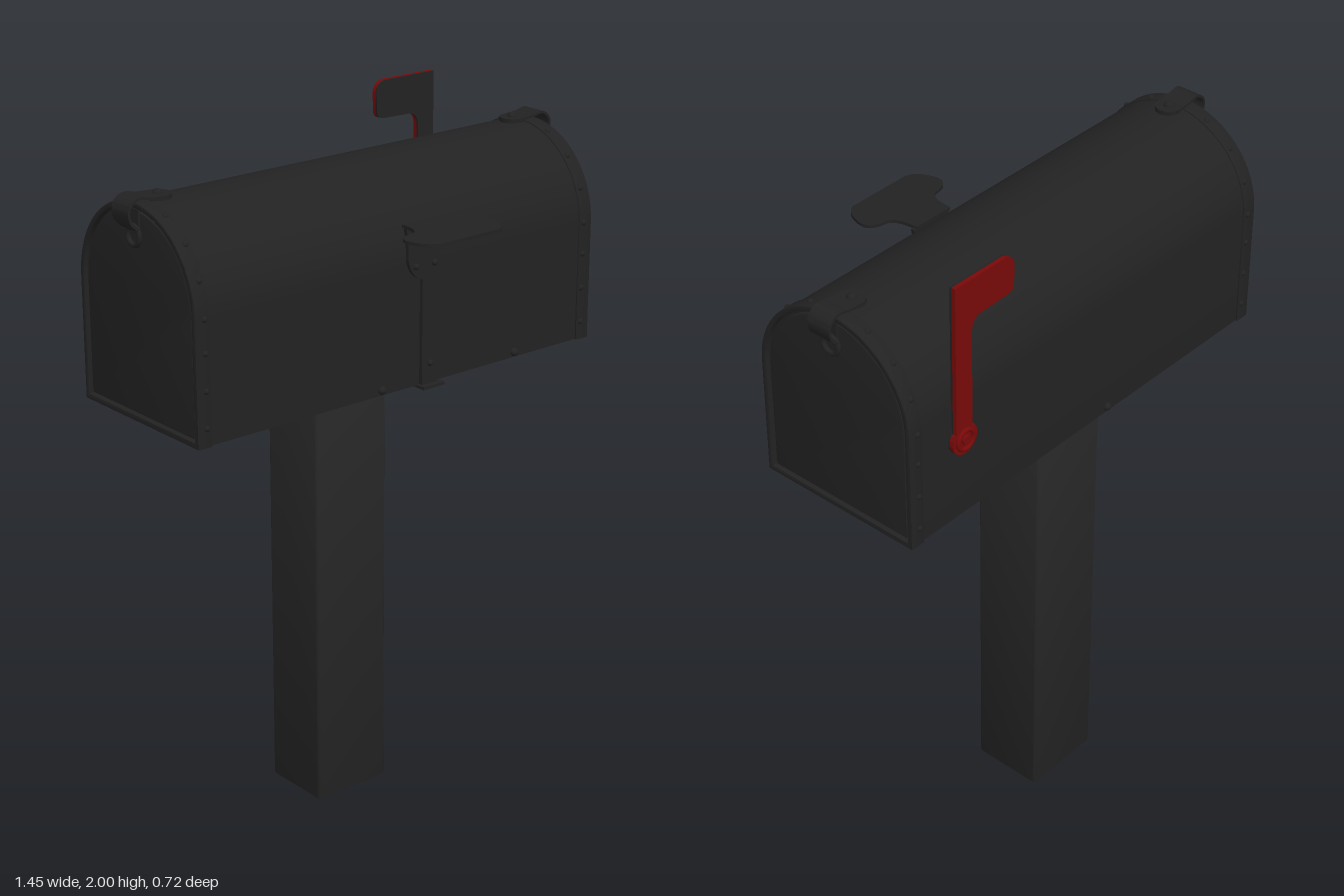
import * as THREE from 'three';
import { toCreasedNormals } from 'three/addons/utils/BufferGeometryUtils.js';

const mat = (name, color) => new THREE.MeshStandardMaterial({ name, color });
const BODY_Z = -0.087; // centre of the box across its width
const FLOOR = 1.3, SPRING = 1.64; // underside and start of the arch

export function createModel() {
  const model = new THREE.Group();
  model.name = 'mailbox';
  const black = mat('black metal', 0x222222);
  const postBlack = mat('post black', 0x262626);
  const red = mat('flag red', 0x780909);

  const add = (parent, name, geo, material, x = 0, y = 0, z = 0) => {
    const mesh = new THREE.Mesh(geo, material);
    mesh.name = name;
    mesh.position.set(x, y, z);
    parent.add(mesh);
    return mesh;
  };
  const extrude = (shape, depth, bevel = 0) => toCreasedNormals(new THREE.ExtrudeGeometry(shape, {
    depth: depth - 2 * bevel, curveSegments: 20, bevelEnabled: bevel > 0,
    bevelSize: bevel, bevelThickness: bevel, bevelOffset: -bevel, bevelSegments: 2,
  }).translate(0, 0, bevel), 0.6);

  // Arched outline, flat floor and round top
  const arch = (r, floor, Type = THREE.Shape) => {
    const s = new Type();
    s.moveTo(-r, floor);
    s.lineTo(r, floor);
    s.lineTo(r, SPRING);
    s.absarc(0, SPRING, r, 0, Math.PI, false);
    s.lineTo(-r, floor);
    return s;
  };
  // Bent metal strip from a centre line in x, y
  const strip = (pts, thick, depth) => {
    const curve = new THREE.CatmullRomCurve3(pts.map(([x, y]) => new THREE.Vector3(x, y, 0)));
    const outer = [], inner = [];
    for (let i = 0; i <= 24; i++) {
      const p = curve.getPoint(i / 24), t = curve.getTangent(i / 24);
      outer.push(new THREE.Vector2(p.x - t.y * thick / 2, p.y + t.x * thick / 2));
      inner.unshift(new THREE.Vector2(p.x + t.y * thick / 2, p.y - t.x * thick / 2));
    }
    return extrude(new THREE.Shape([...outer, ...inner]), depth).translate(0, 0, -depth / 2);
  };
  const rivetGeo = new THREE.SphereGeometry(0.009, 10, 8);

  // Post with softened corners
  const postShape = new THREE.Shape();
  const w = 0.125, d = 0.1075, c = 0.012;
  postShape.moveTo(-w + c, -d);
  [[w, -d, w, -d + c], [w, d, w - c, d], [-w, d, -w, d - c], [-w, -d, -w + c, -d]].forEach(([qx, qy, x, y], i) => {
    const start = [[w - c, -d], [w, d - c], [-w + c, d], [-w, -d + c]][i];
    postShape.lineTo(...start);
    postShape.quadraticCurveTo(qx, qy, x, y);
  });
  add(model, 'post', extrude(postShape, 1.27, 0.008).rotateX(-Math.PI / 2), postBlack, -0.015, 0, -0.153);
  add(model, 'lowerCollar', new THREE.BoxGeometry(0.27, 0.022, 0.24), postBlack, -0.005, 1.27, -0.15);
  add(model, 'upperCollar', new THREE.BoxGeometry(0.31, 0.02, 0.28), postBlack, -0.005, 1.29, -0.155);

  // Arched box
  const body = new THREE.Group();
  body.name = 'box';
  body.position.set(-0.003, 0, BODY_Z);
  model.add(body);
  add(body, 'shell', extrude(arch(0.247, FLOOR), 1.34).rotateY(Math.PI / 2), black, -0.67);

  // Both ends: rim, door, rivets, latch
  for (const side of [1, -1]) {
    const end = new THREE.Group();
    end.name = side > 0 ? 'leftEnd' : 'rightEnd';
    if (side < 0) end.rotation.y = Math.PI;
    body.add(end);

    const rim = arch(0.251, FLOOR - 0.002);
    rim.holes.push(arch(0.236, FLOOR + 0.014, THREE.Path));
    add(end, 'rim', extrude(rim, 0.046, 0.003).rotateY(Math.PI / 2), black, 0.64);
    add(end, 'door', extrude(arch(0.228, FLOOR + 0.02), 0.03, 0.005).rotateY(Math.PI / 2), black, 0.65);

    for (let i = 0; i <= 8; i++) {
      const a = Math.PI * i / 8;
      if (i !== 4) add(end, 'rimRivet', rivetGeo, black, 0.656, SPRING + 0.248 * Math.sin(a), 0.248 * Math.cos(a));
    }
    for (const y of [1.35, 1.45, 1.55]) {
      for (const z of [-0.248, 0.248]) add(end, 'rimRivet', rivetGeo, black, 0.656, y, z);
    }

    // Spring latch curling over the door
    add(end, 'latchStrip', strip([[0.6, 1.898], [0.65, 1.901], [0.695, 1.907], [0.721, 1.885],
      [0.718, 1.85], [0.695, 1.825]], 0.007, 0.072), black);
    const tongue = new THREE.CylinderGeometry(0.036, 0.036, 0.012, 24);
    add(end, 'latchTongue', tongue, black, 0.61, 1.896);
    add(end, 'latchRivet', new THREE.SphereGeometry(0.014, 12, 8), black, 0.61, 1.9);
    add(end, 'doorPull', new THREE.TorusGeometry(0.026, 0.007, 8, 24).rotateY(Math.PI / 2), black, 0.687, 1.805);
    add(end, 'pullPlate', new THREE.BoxGeometry(0.01, 0.07, 0.04), black, 0.68, 1.84);
  }

  // Front bracket: flared upright, rounded shelf and foot
  const bracket = new THREE.Group();
  bracket.name = 'frontBracket';
  bracket.position.x = 0.052;
  model.add(bracket);
  const upright = new THREE.Shape();
  upright.moveTo(0, 1.3);
  upright.lineTo(0.055, 1.3);
  upright.lineTo(0.055, 1.6);
  upright.quadraticCurveTo(0.06, 1.69, 0.075, 1.755);
  upright.lineTo(-0.06, 1.755);
  upright.quadraticCurveTo(-0.05, 1.72, -0.05, 1.66);
  upright.quadraticCurveTo(-0.04, 1.61, 0, 1.6);
  add(bracket, 'upright', extrude(upright, 0.011), black, 0, 0, 0.16);

  const shelf = new THREE.Shape();
  shelf.moveTo(-0.065, -0.16);
  shelf.lineTo(0.065, -0.16);
  shelf.quadraticCurveTo(0.065, -0.235, 0.1, -0.24);
  shelf.quadraticCurveTo(0.15, -0.245, 0.147, -0.285);
  shelf.quadraticCurveTo(0.135, -0.345, 0.1, -0.355);
  shelf.lineTo(-0.1, -0.355);
  shelf.quadraticCurveTo(-0.14, -0.345, -0.152, -0.285);
  shelf.quadraticCurveTo(-0.155, -0.245, -0.1, -0.24);
  shelf.quadraticCurveTo(-0.065, -0.235, -0.065, -0.16);
  add(bracket, 'shelf', extrude(shelf, 0.009).rotateX(-Math.PI / 2), black, 0, 1.752);
  add(bracket, 'foot', new THREE.BoxGeometry(0.075, 0.008, 0.14), black, 0.028, 1.298, 0.12);
  for (const [x, y] of [[-0.025, 1.64], [0.04, 1.64], [0.028, 1.36]]) {
    add(bracket, 'bracketRivet', rivetGeo, black, x, y, 0.172);
  }

  // Floor fasteners on the front and back walls
  for (const x of [-0.08, 0.4]) add(model, 'frontFastener', new THREE.SphereGeometry(0.012, 12, 8), black, x, 1.315, 0.161);
  add(model, 'backFastener', new THREE.SphereGeometry(0.012, 12, 8), black, -0.08, 1.315, -0.333);

  // Signal flag, red behind and black on the front
  const flag = new THREE.Group();
  flag.name = 'flag';
  model.add(flag);
  const outline = new THREE.Shape();
  outline.moveTo(0.528, 1.57);
  outline.lineTo(0.528, 2.0);
  outline.lineTo(0.35, 2.0);
  outline.quadraticCurveTo(0.318, 1.995, 0.316, 1.965);
  outline.lineTo(0.318, 1.91);
  outline.quadraticCurveTo(0.32, 1.892, 0.345, 1.892);
  outline.lineTo(0.44, 1.89);
  outline.quadraticCurveTo(0.47, 1.885, 0.47, 1.85);
  outline.lineTo(0.47, 1.57);
  outline.absarc(0.497, 1.545, 0.044, Math.PI * 0.8, Math.PI * 2.2, false);
  add(flag, 'flagBack', extrude(outline, 0.012), red, 0, 0, -0.35);
  add(flag, 'flagFront', extrude(outline, 0.006), black, 0, 0, -0.338);
  add(flag, 'pivotRing', new THREE.TorusGeometry(0.028, 0.007, 8, 24), red, 0.497, 1.545, -0.352);
  add(flag, 'pivotBolt', new THREE.CylinderGeometry(0.014, 0.014, 0.03, 16).rotateX(Math.PI / 2), red, 0.497, 1.545, -0.345);

  return model;
}
